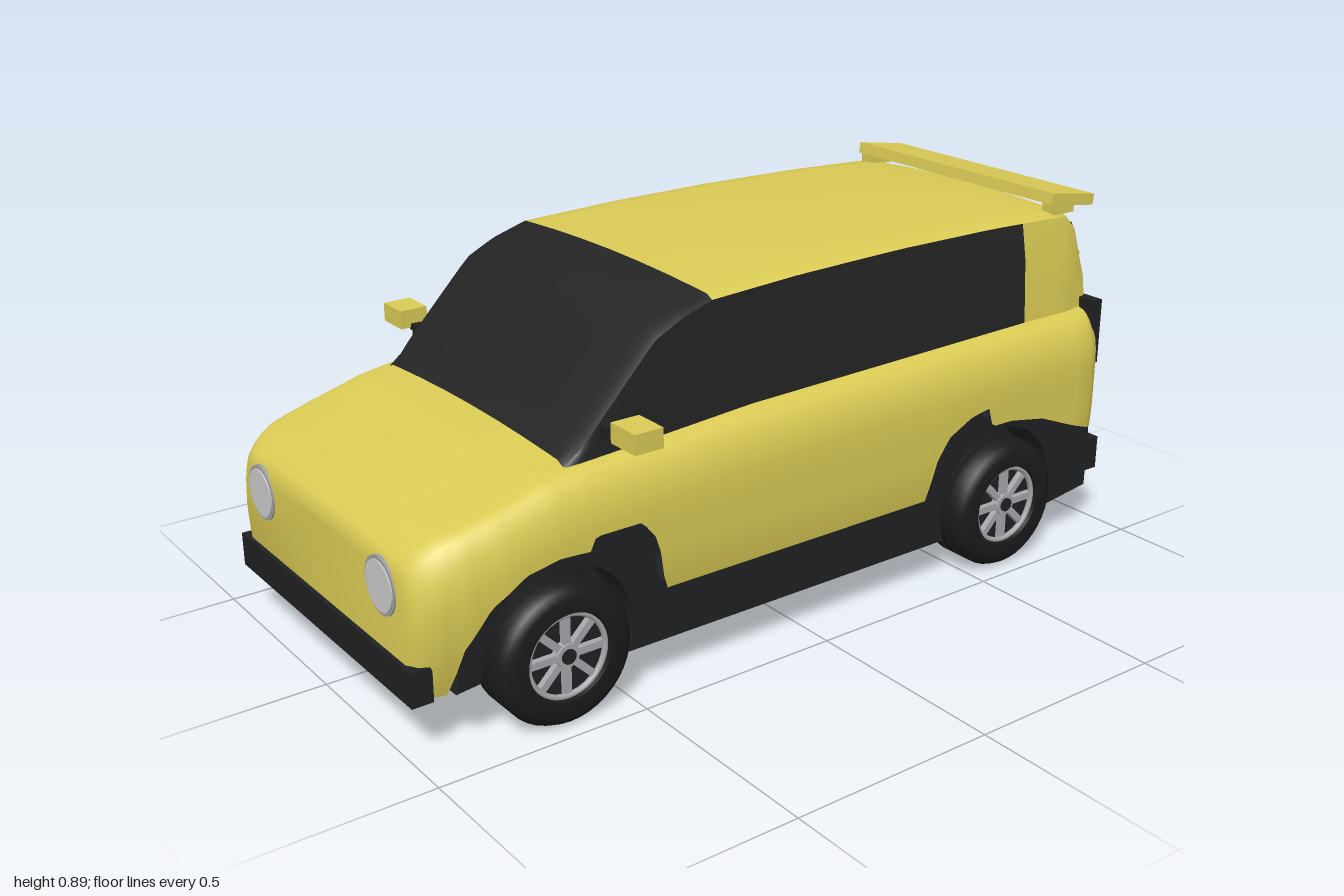
import * as THREE from 'three';
import { toCreasedNormals } from 'three/addons/utils/BufferGeometryUtils.js';

const mat = (name, color, side = THREE.FrontSide) => {
  const m = new THREE.MeshStandardMaterial({ color, side });
  m.name = name;
  return m;
};

// Piecewise-linear lookup; tables run from front (+z) to back
function look(table, z) {
  if (z >= table[0][0]) return table[0][1];
  for (let i = 1; i < table.length; i++) {
    const [z0, v0] = table[i - 1], [z1, v1] = table[i];
    if (z >= z1) return v0 + (v1 - v0) * (z0 - z) / (z0 - z1);
  }
  return table[table.length - 1][1];
}

// Skin a list of cross-sections, each running from -x to +x
function loft(sections, crease = 0.6) {
  const n = sections[0].length, pos = [], idx = [];
  sections.forEach((s) => s.forEach((p) => pos.push(...p)));
  for (let i = 0; i < sections.length - 1; i++) {
    for (let j = 0; j < n - 1; j++) {
      const a = i * n + j, c = a + n;
      idx.push(a, a + 1, c, a + 1, c + 1, c);
    }
  }
  const g = new THREE.BufferGeometry();
  g.setAttribute('position', new THREE.Float32BufferAttribute(pos, 3));
  g.setIndex(idx);
  return toCreasedNormals(g, crease);
}

const mirrored = (half) => [...half.slice(1).reverse().map(([x, y, z]) => [-x, y, z]), ...half];
const flatten = (section) => section.map(([, y, z]) => [0, y, z]);
const range = (a, b, n) => Array.from({ length: n + 1 }, (_, i) => a + (b - a) * i / n);

// Lower body: top line, half width and bottom edge with wheel arches
const TOP = [[0.99, 0.4], [0.983, 0.43], [0.955, 0.457], [0.915, 0.48], [0.78, 0.515], [0.675, 0.545],
  [0.59, 0.558], [0.14, 0.585], [-0.7, 0.602], [-0.93, 0.602]];
const WIDTH = [[0.99, 0.385], [0.975, 0.41], [0.94, 0.43], [0.88, 0.447], [0.8, 0.455], [-0.85, 0.455],
  [-0.9, 0.447], [-0.93, 0.428]];
const EDGE = [[0.99, 0.125], [0.915, 0.13], [0.89, 0.24], [0.835, 0.32], [0.755, 0.37], [0.675, 0.385],
  [0.597, 0.38], [0.59, 0.41], [0.475, 0.41], [0.435, 0.36], [0.41, 0.235], [-0.345, 0.235], [-0.365, 0.33],
  [-0.405, 0.385], [-0.475, 0.42], [-0.535, 0.43], [-0.545, 0.38], [-0.61, 0.38], [-0.72, 0.36],
  [-0.82, 0.32], [-0.93, 0.28]];

function bodySection(z) {
  const h = look(TOP, z), w = look(WIDTH, z), low = look(EDGE, z);
  const half = [0, 0.35, 0.7, 0.92].map((t) => [0.85 * w * t, h - 0.012 * t * t, z]);
  for (let k = 0; k <= 14; k++) {
    const y = h - 0.012 - (h - 0.012 - low) * Math.pow(k / 14, 1.6);
    const s = Math.min(1, (h - 0.012 - y) / 0.13);
    const tuck = y < 0.35 ? 0.045 * ((0.35 - y) / 0.23) ** 2 : 0;
    half.push([w * (0.85 + 0.15 * Math.sqrt(1 - (1 - s) ** 2)) - tuck, y, z]);
  }
  return mirrored(half);
}

// Cabin: roof line and plan taper
const ROOF = [[0.615, 0.565], [0.58, 0.59], [0.5, 0.675], [0.39, 0.79], [0.32, 0.825], [0.24, 0.85],
  [0, 0.86], [-0.3, 0.864], [-0.6, 0.86], [-0.8, 0.852], [-0.87, 0.843], [-0.905, 0.81], [-0.935, 0.73]];
const EAVE = [[0.615, 0.375], [0.55, 0.384], [0.3, 0.382], [0, 0.375], [-0.8, 0.36], [-0.935, 0.345]];
const SILL = [[0.615, 0.53], [0.59, 0.545], [0.14, 0.575], [-0.7, 0.592], [-0.935, 0.592]];

function roofSection(z) {
  const h = look(ROOF, z), w = look(EAVE, z);
  return mirrored([0, 0.3, 0.6, 0.85, 0.95, 1].map((t) => [w * t, h - 0.014 * t * t - (t === 1 ? 0.008 : 0), z]));
}
function sideSection(z, sign) {
  const w = look(EAVE, z), top = look(ROOF, z) - 0.022, low = Math.min(look(SILL, z), top);
  const base = 0.388 - (z < -0.85 ? 0.2 * (-0.85 - z) : 0);
  const pts = [0, 0.35, 0.7, 1].map((t) => [sign * (w + (base - w) * Math.sqrt(t)), top + (low - top) * t, z]);
  return sign > 0 ? pts : pts.reverse();
}

export function createModel() {
  const car = new THREE.Group();
  car.name = 'car';
  const paint = mat('yellow paint', 0xdacb55, THREE.DoubleSide);
  const glass = mat('dark glass', 0x242424, THREE.DoubleSide);
  const trim = mat('black trim', 0x202122);
  const rubber = mat('tyre rubber', 0x1b1b1b);
  const silver = mat('wheel silver', 0xa6a8ac);
  const lens = mat('headlight lens', 0xcccccc);
  const bezel = mat('headlight bezel', 0xa0a0a0);
  const red = mat('tail light red', 0x9c211d);

  const add = (name, geo, material, x = 0, y = 0, z = 0, parent = car) => {
    const m = new THREE.Mesh(geo, material);
    m.name = name;
    m.position.set(x, y, z);
    parent.add(m);
    return m;
  };
  const box = (name, material, w, h, d, x, y, z, parent) =>
    add(name, new THREE.BoxGeometry(w, h, d), material, x, y, z, parent);

  // Painted shell with closed nose and tail
  const body = [0.99, 0.983, 0.975, 0.955, ...range(0.94, -0.93, 150)].map(bodySection);
  add('body', loft([flatten(body[0]), ...body, flatten(body[body.length - 1])]), paint);

  // Windscreen, roof, side glass and rear pillars
  const frontZ = [0.615, ...range(0.58, 0.24, 14)];
  const roofZ = [...range(0.24, -0.8, 16), -0.87, -0.89, -0.905, -0.92, -0.935];
  const roof = roofZ.map(roofSection);
  add('windscreen', loft(frontZ.map(roofSection)), glass);
  add('roof', loft(roof), paint);
  const glassZ = [...frontZ, ...range(0.2, -0.705, 14)];
  const pillarZ = [-0.705, -0.8, -0.85, -0.87, -0.89, -0.905, -0.92, -0.935];
  for (const s of [1, -1]) {
    add('sideWindow', loft(glassZ.map((z) => sideSection(z, s))), glass);
    add('rearPillar', loft(pillarZ.map((z) => sideSection(z, s))), paint);
  }
  box('tailgateUpper', paint, 0.69, 0.14, 0.02, 0, 0.655, -0.924);
  box('tailgateLower', paint, 0.7, 0.4, 0.02, 0, 0.305, -0.925);
  const rearGlass = [[0.795, -0.921], [0.73, -0.941], [0.635, -0.941]];
  add('rearWindow', loft(rearGlass.map(([y, z]) => [[-0.325, y, z], [0.325, y, z]])), glass);

  // Roof spoiler on two feet
  const spoiler = box('spoiler', paint, 0.7, 0.028, 0.15, 0, 0.863, -0.89);
  spoiler.rotation.x = -0.15;
  for (const s of [1, -1]) box('spoilerFoot', paint, 0.03, 0.03, 0.08, s * 0.33, 0.845, -0.86);

  // Underbody and side cladding with wheel cut-outs
  box('chassis', trim, 0.63, 0.3, 1.84, 0, 0.24, 0.01);
  const WHEELS = [0.665, -0.605], R = 0.162;
  const side = new THREE.Shape();
  side.moveTo(0.91, 0.14);
  EDGE.slice(2).forEach(([z, y]) => side.lineTo(z, y + 0.012));
  side.lineTo(-0.93, 0.12);
  side.lineTo(-0.78, 0.1);
  side.absarc(WHEELS[1], 0.165, 0.186, Math.PI + 0.355, -0.355, true);
  side.absarc(WHEELS[0], 0.165, 0.186, Math.PI + 0.355, -0.1, true);
  side.closePath();
  for (const s of [1, -1]) {
    const g = new THREE.ExtrudeGeometry(side, { depth: 0.12, bevelEnabled: false, curveSegments: 20 });
    g.rotateY(-Math.PI / 2); // shape x becomes z, depth becomes -x
    add('sideCladding', g, trim, s > 0 ? 0.423 : -0.303);
  }

  // Wheels: outer face points to +x before mirroring by rotation
  const tyre = new THREE.LatheGeometry([[0.1, -0.07], [0.135, -0.072], [0.153, -0.062], [R, -0.045], [R, -0.022],
    [0.156, -0.02], [0.156, -0.015], [R, -0.013], [R, 0.013], [0.156, 0.015], [0.156, 0.02], [R, 0.022], [R, 0.045],
    [0.153, 0.062], [0.135, 0.072], [0.1, 0.07], [0.095, 0.05]].map(([r, y]) => new THREE.Vector2(r, y)), 40);
  const tyreGeo = toCreasedNormals(tyre, 0.6).rotateZ(-Math.PI / 2);
  for (const z of WHEELS) for (const s of [1, -1]) {
    const wheel = new THREE.Group();
    wheel.name = 'wheel';
    wheel.position.set(s * 0.396, R, z);
    if (s < 0) wheel.rotation.y = Math.PI;
    car.add(wheel);
    add('tyre', tyreGeo, rubber, 0, 0, 0, wheel);
    add('wheelDisc', new THREE.CylinderGeometry(0.102, 0.102, 0.11, 32).rotateZ(Math.PI / 2), trim, -0.012, 0, 0, wheel);
    add('rimRing', new THREE.TorusGeometry(0.094, 0.007, 8, 40).rotateY(Math.PI / 2), silver, 0.056, 0, 0, wheel);
    for (let k = 0; k < 8; k++) {
      const a = k * Math.PI / 4;
      const spoke = box('spoke', silver, 0.016, 0.072, 0.017, 0.05, Math.cos(a) * 0.058, Math.sin(a) * 0.058, wheel);
      spoke.rotation.x = a;
    }
    add('hub', new THREE.CylinderGeometry(0.027, 0.03, 0.02, 20).rotateZ(-Math.PI / 2), silver, 0.052, 0, 0, wheel);
    add('hubCap', new THREE.CylinderGeometry(0.017, 0.017, 0.02, 16).rotateZ(-Math.PI / 2), trim, 0.056, 0, 0, wheel);
  }

  // Bumpers and exhaust
  box('frontBumper', trim, 0.81, 0.08, 0.05, 0, 0.17, 0.975);
  box('rearBumper', trim, 0.84, 0.085, 0.045, 0, 0.198, -0.95);
  add('exhaust', new THREE.CylinderGeometry(0.024, 0.024, 0.12, 20).rotateX(Math.PI / 2), trim, 0.25, 0.172, -0.94);

  // Lamps and door mirrors
  for (const s of [1, -1]) {
    add('headlightBezel', new THREE.CylinderGeometry(0.064, 0.064, 0.05, 32).rotateX(Math.PI / 2), bezel, s * 0.283, 0.352, 0.968);
    add('headlightLens', new THREE.CylinderGeometry(0.056, 0.056, 0.05, 32).rotateX(Math.PI / 2), lens, s * 0.283, 0.352, 0.971);
    box('tailLightHousing', trim, 0.066, 0.165, 0.03, s * 0.388, 0.532, -0.929);
    box('tailLight', red, 0.05, 0.14, 0.008, s * 0.388, 0.532, -0.943);
    box('mirrorBase', trim, 0.035, 0.03, 0.05, s * 0.397, 0.605, 0.505);
    box('mirrorArm', trim, 0.05, 0.015, 0.025, s * 0.425, 0.603, 0.505);
    box('mirror', paint, 0.085, 0.045, 0.07, s * 0.487, 0.623, 0.508);
  }
  return car;
}
